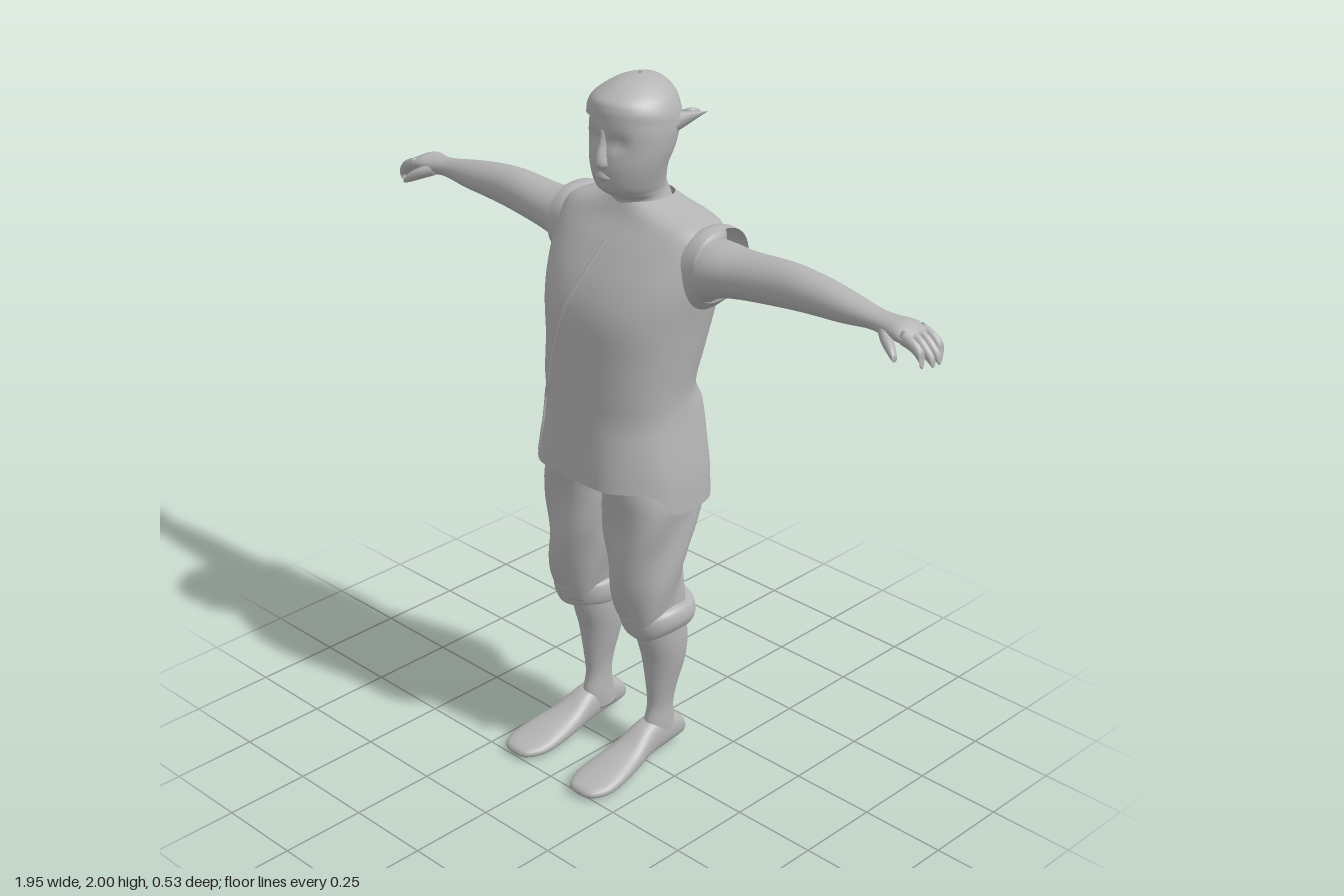
import * as THREE from 'three';

// Catmull-Rom through equal-length rows of numbers
function smoothRows(rows, steps) {
  const out = [];
  const at = (i) => rows[Math.max(0, Math.min(rows.length - 1, i))];
  for (let i = 0; i < rows.length - 1; i++) {
    for (let k = 0; k < steps; k++) {
      const u = k / steps;
      out.push(rows[i].map((b, c) => {
        const a = at(i - 1)[c], d = at(i + 1)[c], e = at(i + 2)[c];
        return b + 0.5 * u * (d - a + u * (2 * a - 5 * b + 4 * d - e + u * (3 * (b - d) + e - a)));
      }));
    }
  }
  out.push(rows[rows.length - 1]);
  return out;
}

// Skin over cross-sections [t, a0, a1, b0, b1] along an axis:
// y uses (a, b) = (x, z), x uses (z, y), z uses (y, x)
function loft(axis, rows, { n = 2, segs = 40, steps = 5, cap = true, warp } = {}) {
  const place = {
    y: (t, a, b) => new THREE.Vector3(a, t, b),
    x: (t, a, b) => new THREE.Vector3(t, b, a),
    z: (t, a, b) => new THREE.Vector3(b, a, t),
  }[axis];
  const rings = smoothRows(rows, steps), pos = [], idx = [];
  const flip = rings[rings.length - 1][0] < rings[0][0];
  const tri = (a, b, c) => (flip ? idx.push(a, c, b) : idx.push(a, b, c));
  const add = (p, ang) => { if (warp) warp(p, ang); pos.push(p.x, p.y, p.z); };
  const pw = (v) => Math.sign(v) * Math.abs(v) ** (2 / n);
  for (const [t, a0, a1, b0, b1] of rings) {
    for (let j = 0; j < segs; j++) {
      const ang = (j / segs) * Math.PI * 2;
      add(place(t, (a0 + a1) / 2 + pw(Math.cos(ang)) * Math.abs(a1 - a0) / 2,
        (b0 + b1) / 2 + pw(Math.sin(ang)) * Math.abs(b1 - b0) / 2), ang);
    }
  }
  for (let i = 0; i < rings.length - 1; i++) {
    for (let j = 0; j < segs; j++) {
      const k = (j + 1) % segs, p = i * segs, q = p + segs;
      tri(p + j, q + j, p + k);
      tri(p + k, q + j, q + k);
    }
  }
  if (cap) {
    for (const i of [0, rings.length - 1]) {
      const [t, a0, a1, b0, b1] = rings[i], c = pos.length / 3;
      add(place(t, (a0 + a1) / 2, (b0 + b1) / 2), 0);
      for (let j = 0; j < segs; j++) {
        const p = i * segs + j, q = i * segs + (j + 1) % segs;
        if (i === 0) tri(c, p, q); else tri(c, q, p);
      }
    }
  }
  const g = new THREE.BufferGeometry();
  g.setAttribute('position', new THREE.Float32BufferAttribute(pos, 3));
  g.setIndex(idx);
  g.computeVertexNormals();
  return g;
}

export function createModel() {
  const model = new THREE.Group();
  const grey = new THREE.MeshStandardMaterial({ color: 0xb4b4b4, side: THREE.DoubleSide });
  grey.name = 'plain grey';
  const part = (name, geo, parent = model) => {
    const m = new THREE.Mesh(geo, grey);
    m.name = name;
    parent.add(m);
    return m;
  };
  const step = THREE.MathUtils.smoothstep;

  // Tunic: hem rises at the front, soft folds in the skirt
  const tunic = part('tunic', loft('y', [
    [0.83, -0.25, 0.24, -0.25, 0.15], [0.92, -0.245, 0.235, -0.25, 0.145],
    [1.0, -0.235, 0.225, -0.245, 0.14], [1.1, -0.222, 0.21, -0.237, 0.135],
    [1.17, -0.22, 0.208, -0.205, 0.135], [1.27, -0.222, 0.22, -0.23, 0.133],
    [1.38, -0.235, 0.235, -0.26, 0.13], [1.47, -0.25, 0.25, -0.265, 0.1],
    [1.56, -0.26, 0.26, -0.26, 0.045], [1.62, -0.245, 0.245, -0.24, 0.0],
    [1.655, -0.14, 0.14, -0.21, -0.02], [1.675, -0.08, 0.08, -0.195, -0.03],
  ], {
    n: 2.4, segs: 64, cap: false,
    warp: (p, ang) => {
      const low = 1 - step(p.y, 0.85, 1.15);
      p.z += 0.006 * low * Math.sin(ang * 6 + 1);
      p.y += 0.08 * step(p.z, -0.02, 0.08) * Math.max(0, 1 - (p.y - 0.83) / 0.25);
    },
  }));

  // Wrap-over edge laid along the tunic front
  tunic.updateMatrixWorld();
  const ray = new THREE.Raycaster();
  const edge = new THREE.CatmullRomCurve3([
    [0.01, 1.58], [-0.02, 1.48], [-0.07, 1.36], [-0.115, 1.24], [-0.14, 1.14],
    [-0.16, 1.1], [-0.155, 1.02], [-0.165, 0.935],
  ].map(([x, y]) => new THREE.Vector3(x, y, 1)));
  const edgePoints = [];
  for (const p of edge.getPoints(30)) {
    ray.set(p, new THREE.Vector3(0, 0, -1));
    const hit = ray.intersectObject(tunic)[0];
    if (hit) edgePoints.push(hit.point);
  }
  part('wrapEdge', new THREE.TubeGeometry(new THREE.CatmullRomCurve3(edgePoints), 50, 0.005, 6));

  // Head and neck with shallow eye sockets
  part('head', loft('y', [
    [1.6, -0.1, 0.1, -0.2, -0.01], [1.67, -0.078, 0.078, -0.188, -0.025],
    [1.695, -0.076, 0.076, -0.178, 0.01], [1.72, -0.084, 0.084, -0.168, 0.034],
    [1.77, -0.1, 0.1, -0.165, 0.042], [1.82, -0.112, 0.112, -0.185, 0.038],
    [1.88, -0.115, 0.115, -0.2, 0.036], [1.94, -0.1, 0.1, -0.185, 0.025],
    [1.98, -0.05, 0.05, -0.14, -0.03],
  ], {
    n: 2.1,
    warp: (p) => {
      if (p.z > -0.03) {
        p.z -= 0.016 * Math.exp(-(((Math.abs(p.x) - 0.042) / 0.022) ** 2) - ((p.y - 1.845) / 0.02) ** 2);
      }
    },
  }));
  part('nose', loft('y', [
    [1.772, -0.012, 0.012, 0, 0.045], [1.785, -0.022, 0.022, 0, 0.06],
    [1.81, -0.017, 0.017, 0, 0.059], [1.84, -0.012, 0.012, 0, 0.048],
    [1.875, -0.012, 0.012, 0, 0.038],
  ], { segs: 16 }));
  part('lips', loft('y', [
    [1.738, -0.02, 0.02, 0, 0.04], [1.75, -0.034, 0.034, 0, 0.047], [1.763, -0.02, 0.02, 0, 0.043],
  ], { segs: 16 }));

  // Head cloth: dome, corner points and knot
  part('headCloth', loft('y', [
    [1.885, -0.122, 0.122, -0.212, 0.048], [1.92, -0.117, 0.117, -0.207, 0.046],
    [1.955, -0.097, 0.097, -0.195, 0.034], [1.985, -0.058, 0.058, -0.165, -0.018],
    [1.997, -0.026, 0.026, -0.135, -0.06], [2.0, -0.004, 0.004, -0.105, -0.095],
  ], {
    segs: 48, cap: false,
    warp: (p) => { p.y += 0.17 * (p.z + 0.09) * (1 - step(p.y, 1.88, 1.97)); },
  }));
  const spike = (name, from, to, r) => {
    const a = new THREE.Vector3(...from), d = new THREE.Vector3(...to).sub(a);
    const m = part(name, new THREE.ConeGeometry(r, d.length(), 10));
    m.position.copy(a).addScaledVector(d, 0.5);
    m.quaternion.setFromUnitVectors(new THREE.Vector3(0, 1, 0), d.normalize());
  };
  spike('clothPoint', [-0.1, 1.88, -0.09], [-0.147, 1.908, -0.095], 0.025);
  spike('clothPoint', [0.09, 1.88, -0.14], [0.152, 1.908, -0.195], 0.026);
  spike('clothPoint', [-0.05, 1.88, -0.18], [-0.085, 1.885, -0.23], 0.025);
  const knot = part('clothKnot', new THREE.TorusGeometry(0.02, 0.008, 8, 20));
  knot.position.set(0.085, 1.887, -0.2);
  knot.rotation.set(1.2, 0.5, 0);

  for (const s of [-1, 1]) {
    const side = s > 0 ? 'left' : 'right';
    const limb = new THREE.Group();
    limb.name = side + 'Limbs';
    model.add(limb);
    // Mirrors rows that run along x, or whose a or b range is x
    const alongX = (rows) => rows.map(([t, ...r]) => [t * s, ...r]);
    const inA = (rows) => rows.map(([t, a0, a1, ...r]) => [t, a0 * s, a1 * s, ...r]);
    const inB = (rows) => rows.map(([t, a0, a1, b0, b1]) => [t, a0, a1, b0 * s, b1 * s]);

    // Armhole, arm and hand
    part(side + 'Armhole', loft('x', alongX([
      [0.17, -0.235, 0.0, 1.37, 1.61], [0.235, -0.238, -0.015, 1.405, 1.635],
      [0.27, -0.235, -0.02, 1.435, 1.632],
    ]), { n: 2.3, cap: false }), limb);
    part(side + 'Arm', loft('x', alongX([
      [0.16, -0.21, -0.03, 1.36, 1.59], [0.22, -0.215, -0.035, 1.41, 1.6],
      [0.28, -0.212, -0.04, 1.448, 1.6],
      [0.36, -0.2, -0.055, 1.468, 1.597], [0.5, -0.19, -0.07, 1.485, 1.605],
      [0.6, -0.185, -0.075, 1.495, 1.598], [0.69, -0.175, -0.08, 1.502, 1.585],
      [0.78, -0.162, -0.09, 1.513, 1.568], [0.83, -0.165, -0.086, 1.511, 1.564],
      [0.88, -0.18, -0.076, 1.51, 1.562], [0.92, -0.178, -0.08, 1.505, 1.543],
    ]), { segs: 28 }), limb);
    for (let k = 0; k < 4; k++) {
      const z = -0.166 + k * 0.025, tip = 0.965 + (k === 1 || k === 2 ? 0.01 : -0.004);
      part(side + 'Finger', loft('x', alongX([
        [0.895, z - 0.013, z + 0.013, 1.515, 1.552], [0.93, z - 0.013, z + 0.013, 1.505, 1.54],
        [0.955, z - 0.012, z + 0.012, 1.485, 1.52], [tip - 0.003, z - 0.009, z + 0.009, 1.472, 1.5],
        [tip, z - 0.003, z + 0.003, 1.472, 1.482],
      ]), { segs: 10, steps: 3 }), limb);
    }
    part(side + 'Thumb', loft('x', alongX([
      [0.82, -0.12, -0.09, 1.515, 1.545], [0.85, -0.105, -0.065, 1.503, 1.54],
      [0.885, -0.08, -0.05, 1.488, 1.52], [0.903, -0.065, -0.046, 1.482, 1.5],
    ]), { segs: 12 }), limb);

    // Baggy trouser leg and rolled cuff
    part(side + 'TrouserLeg', loft('y', inA([
      [0.46, 0.055, 0.2, -0.13, 0.06], [0.52, 0.045, 0.207, -0.12, 0.08],
      [0.6, 0.028, 0.215, -0.115, 0.092], [0.7, 0.004, 0.222, -0.135, 0.095],
      [0.8, -0.004, 0.232, -0.17, 0.095], [0.88, -0.01, 0.23, -0.205, 0.1],
      [1.0, -0.03, 0.19, -0.2, 0.11],
    ]), {
      n: 2.3,
      warp: (p, ang) => {
        const f = 0.006 * Math.sin(ang * 4 + p.y * 22);
        p.x += f * Math.cos(ang);
        p.z += f * Math.sin(ang);
      },
    }), limb);
    part(side + 'Cuff', loft('y', inA([
      [0.455, 0.065, 0.185, -0.13, 0.03], [0.445, 0.045, 0.21, -0.15, 0.05],
      [0.475, 0.036, 0.226, -0.157, 0.062], [0.51, 0.04, 0.22, -0.15, 0.068],
      [0.522, 0.055, 0.2, -0.12, 0.06],
    ]), {
      n: 2.3, cap: false,
      warp: (p, ang) => { p.y += -0.09 * (p.z + 0.06) + 0.006 * Math.sin(ang * 3 + s); },
    }), limb);

    // Calf and ankle
    part(side + 'Calf', loft('y', inA([
      [0.05, 0.09, 0.155, -0.13, -0.02], [0.1, 0.09, 0.158, -0.12, -0.01],
      [0.16, 0.093, 0.157, -0.112, -0.025], [0.22, 0.088, 0.165, -0.122, -0.022],
      [0.32, 0.07, 0.185, -0.148, -0.01], [0.4, 0.062, 0.192, -0.15, 0.012],
      [0.5, 0.065, 0.19, -0.13, 0.03],
    ]), { segs: 28 }), limb);

    // Foot
    const foot = part(side + 'Foot', loft('z', inB([
      [-0.163, 0.035, 0.055, 0.105, 0.135], [-0.145, 0.025, 0.09, 0.09, 0.15],
      [-0.08, 0.018, 0.125, 0.083, 0.157], [-0.01, 0.012, 0.118, 0.078, 0.162],
      [0.07, 0.006, 0.078, 0.068, 0.18], [0.15, 0.0, 0.056, 0.06, 0.196],
      [0.21, 0.0, 0.042, 0.063, 0.198], [0.255, 0.004, 0.032, 0.085, 0.178],
      [0.268, 0.01, 0.02, 0.11, 0.15],
    ]), { n: 2.4, segs: 28 }), limb);
    if (s < 0) foot.position.set(-0.015, 0, -0.012);
  }
  return model;
}
